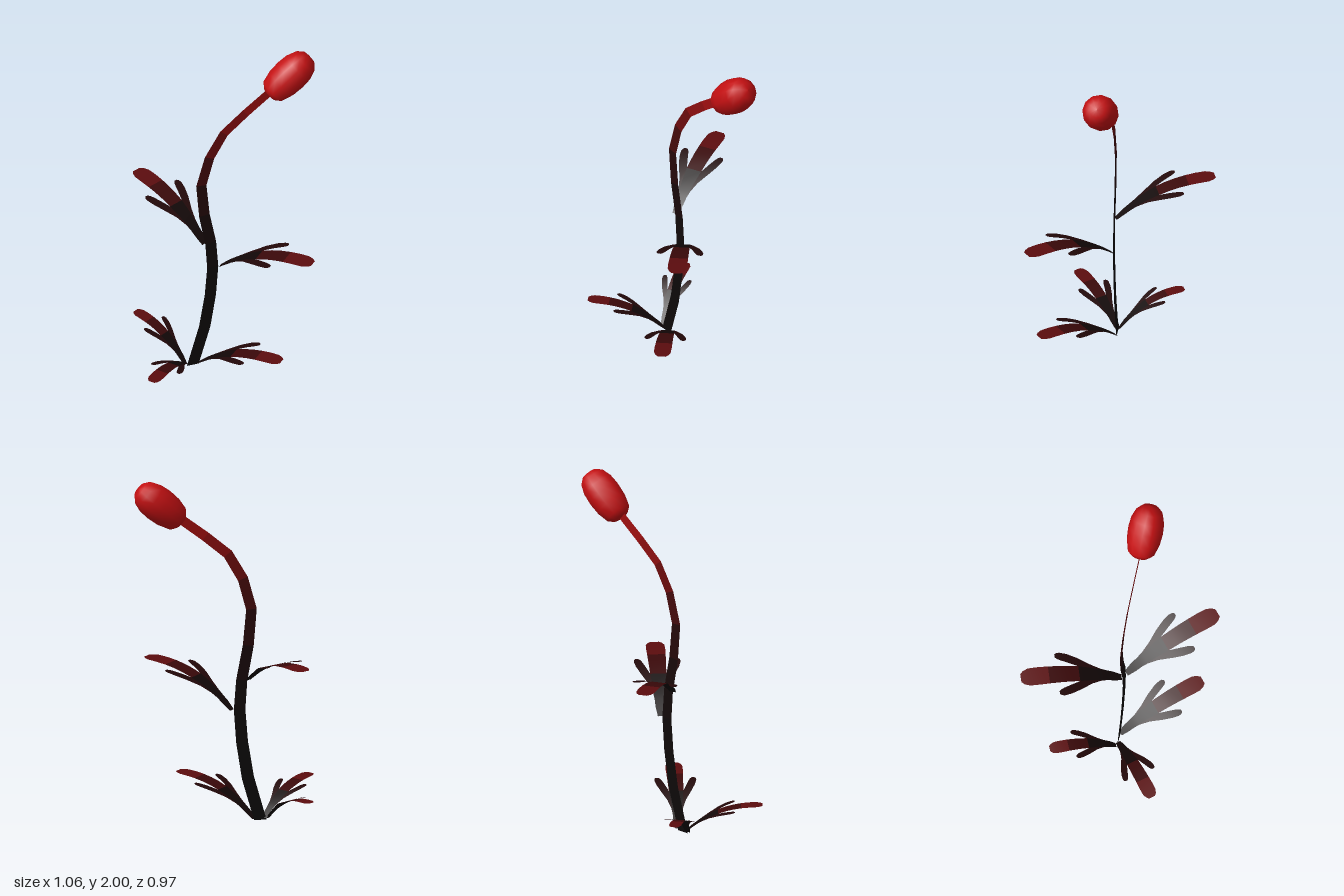
import * as THREE from 'three';

const PLANE_Z = 0.043; // the flat stem and the pod share this depth

function material(color) {
  return new THREE.MeshStandardMaterial({ color, side: THREE.DoubleSide });
}

// Thin sheet spanned between pairs of edge points, one pair per row
function ribbon(name, pairs, color) {
  const positions = [], index = [];
  pairs.forEach(([a, b], i) => {
    positions.push(...a, ...b);
    if (i > 0) {
      const k = 2 * i;
      index.push(k - 2, k - 1, k, k - 1, k + 1, k);
    }
  });
  const geometry = new THREE.BufferGeometry();
  geometry.setAttribute('position', new THREE.Float32BufferAttribute(positions, 3));
  geometry.setIndex(index);
  geometry.computeVertexNormals();
  const mesh = new THREE.Mesh(geometry, material(color));
  mesh.name = name;
  return mesh;
}

// Leaf rows: distance along the leaf, then the two side edges (unit length)
const BODY = [[0, -0.03, 0.03], [0.08, -0.047, 0.047], [0.15, -0.052, 0.052],
  [0.2, -0.055, 0.055], [0.3, -0.065, 0.065], [0.42, -0.078, 0.078]];
const BLADE = [[0.42, -0.078, 0.078], [0.52, -0.082, 0.082], [0.62, -0.086, 0.086], [0.72, -0.089, 0.089]];
const TIP = [[0.72, -0.089, 0.089], [0.82, -0.092, 0.092], [0.92, -0.09, 0.09],
  [0.97, -0.07, 0.07], [1, -0.043, 0.043]];
const LOBE = [[0.15, 0.052, 0.053], [0.2, 0.055, 0.062], [0.3, 0.065, 0.1],
  [0.42, 0.078, 0.165], [0.52, 0.118, 0.208], [0.59, 0.145, 0.225], [0.62, 0.16, 0.222], [0.64, 0.178, 0.208]];

// Three-lobed leaf that rises steeply, then levels out toward its tip
function makeLeaf(name, base, tipX, tipZ, height) {
  const dx = tipX - base[0], dz = tipZ - base[2];
  const length = Math.hypot(dx, dz);
  const place = (rows, side = 1) => rows.map(([t, a, b]) => {
    const y = height * (1 - Math.pow(1 - t, 2.5));
    const edges = [[a * side * length, y, t * length], [b * side * length, y, t * length]];
    return side > 0 ? edges : edges.reverse();
  });
  const leaf = new THREE.Group();
  leaf.name = name;
  leaf.add(
    ribbon('leafBody', place(BODY), 0x120707),
    ribbon('leafBlade', place(BLADE), 0x3a0809),
    ribbon('leafTip', place(TIP), 0x5c0c0e),
    ribbon('leafLobeLeft', place(LOBE), 0x220708),
    ribbon('leafLobeRight', place(LOBE, -1), 0x220708),
  );
  leaf.position.set(...base);
  leaf.rotation.y = Math.atan2(dx, dz);
  return leaf;
}

// Flat curving stem, shading from near black to red
function makeStem() {
  const path = [[-0.18, 0], [-0.11, 0.25], [-0.077, 0.46], [-0.063, 0.65], [-0.075, 0.82],
    [-0.112, 1.02], [-0.13, 1.23], [-0.082, 1.41], [0.003, 1.56], [0.13, 1.67], [0.27, 1.78], [0.31, 1.81]];
  const colors = [0x0d0909, 0x0d0909, 0x0e0909, 0x110909, 0x180809, 0x260809,
    0x440a0b, 0x6c0c0d, 0x8c0e0f, 0xa00f10, 0xaa0f10];
  const last = path.length - 1;
  const pairs = path.map(([x, y], i) => {
    const [x0, y0] = path[Math.max(i - 1, 0)], [x1, y1] = path[Math.min(i + 1, last)];
    const len = Math.hypot(x1 - x0, y1 - y0);
    const half = 0.035 - 0.009 * i / last;
    // the foot is cut level with the ground
    const nx = i ? (y1 - y0) / len * half : half;
    const ny = i ? -(x1 - x0) / len * half : 0;
    return [[x - nx, y - ny, PLANE_Z], [x + nx, y + ny, PLANE_Z]];
  });
  const stem = new THREE.Group();
  stem.name = 'stem';
  colors.forEach((c, i) => stem.add(ribbon('stemSegment', pairs.slice(i, i + 2), c)));
  return stem;
}

// Blunt egg-shaped pod at the end of the stem
function makePod() {
  const profile = [[0, -0.156], [0.045, -0.152], [0.076, -0.125], [0.094, -0.06], [0.099, 0.01],
    [0.094, 0.07], [0.076, 0.122], [0.045, 0.152], [0, 0.16]];
  const geometry = new THREE.LatheGeometry(profile.map(([r, y]) => new THREE.Vector2(r, y)), 12);
  const pod = new THREE.Mesh(geometry, new THREE.MeshStandardMaterial({ color: 0xc41012 }));
  pod.name = 'pod';
  pod.position.set(0.386, 1.866, PLANE_Z);
  pod.rotation.z = -0.86;
  return pod;
}

export function createModel() {
  const model = new THREE.Group();
  model.name = 'plant';
  model.add(makeStem(), makePod());
  // name, base, tip x, tip z, rise
  const leaves = [
    ['upperBackLeaf', [-0.11, 0.82, 0.04], -0.33, -0.48, 0.2],
    ['middleFrontLeaf', [-0.02, 0.65, 0.043], 0.38, 0.46, 0.21],
    ['lowerFrontLeftLeaf', [-0.145, 0.01, 0.043], 0.21, 0.42, 0.185],
    ['lowerFrontRightLeaf', [-0.2, 0.01, 0.043], -0.52, 0.325, 0.155],
    ['lowerBackLeaf', [-0.22, 0.01, 0.037], -0.4, -0.295, 0.18],
  ];
  leaves.forEach((spec) => model.add(makeLeaf(...spec)));
  return model;
}
